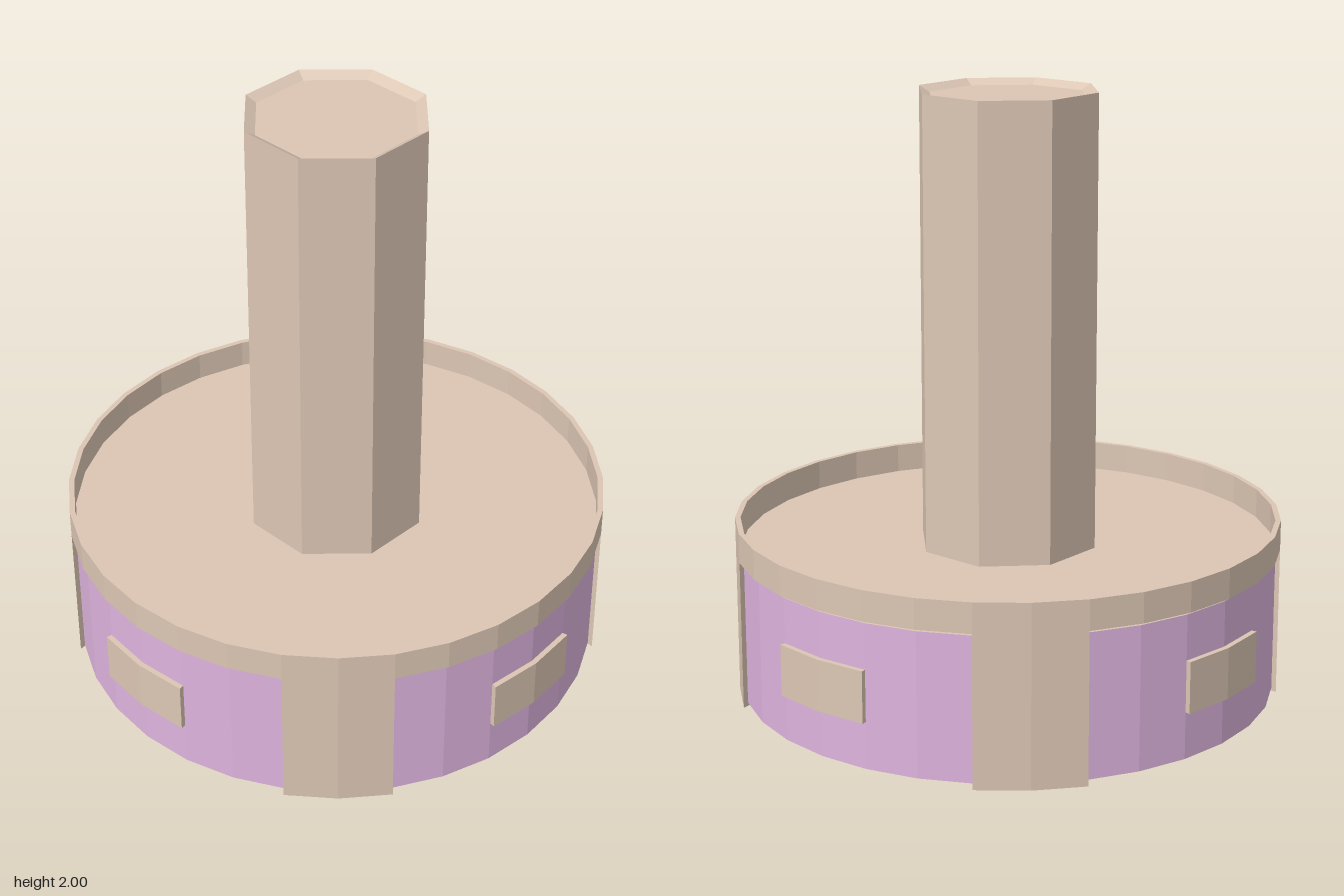
import * as THREE from 'three';

const BEIGE = new THREE.MeshStandardMaterial({ color: 0xdcc6b4, flatShading: true, side: THREE.DoubleSide });
const PURPLE = new THREE.MeshStandardMaterial({ color: 0xdeb4de, flatShading: true });
const SIDES = 32;
const STEP = (Math.PI * 2) / SIDES;

// Point on a circle in plan, angle measured from the front
const polar = (r, a) => new THREE.Vector2(r * Math.sin(a), -r * Math.cos(a));

// Upright prism from a plan outline
function prism(outline, y0, y1) {
  const geo = new THREE.ExtrudeGeometry(new THREE.Shape(outline), { depth: y1 - y0, bevelEnabled: false });
  return geo.rotateX(-Math.PI / 2).translate(0, y0, 0);
}

function lathe(profile, sides, start = 0) {
  return new THREE.LatheGeometry(profile.map(([x, y]) => new THREE.Vector2(x, y)), sides, start);
}

export function createModel() {
  const group = new THREE.Group();
  const add = (name, geo, mat, turn = 0) => {
    const mesh = new THREE.Mesh(geo, mat);
    mesh.name = name;
    mesh.rotation.y = turn;
    group.add(mesh);
  };

  // Octagonal shaft with a shallow dished top
  add('shaft', lathe([[0.3, 0.5], [0.3, 2], [0.265, 1.98], [0, 1.98]], 8, Math.PI / 8), BEIGE);

  // Tray: thin floor with a raised rim
  add('tray', lathe([[0, 0.5], [0.9, 0.5], [0.9, 0.6], [0.882, 0.6], [0.882, 0.502], [0, 0.502]], SIDES), BEIGE);

  // Drum: purple wall between plain end discs, just clear of the tray
  add('drumWall', new THREE.CylinderGeometry(0.885, 0.885, 0.475, SIDES, 1, true).translate(0, 0.2525, 0), PURPLE);
  add('drumBottom', new THREE.CircleGeometry(0.885, SIDES).rotateX(Math.PI / 2).translate(0, 0.015, 0), BEIGE);
  add('drumTop', new THREE.CircleGeometry(0.885, SIDES).rotateX(-Math.PI / 2).translate(0, 0.49, 0), BEIGE);

  // Four wedge posts on the diagonals and four raised tabs between them
  const arc = (r) => [-STEP, 0, STEP].map((a) => polar(r, a));
  const post = prism([...arc(0.9), polar(0.73, 0)], 0, 0.5);
  const tab = prism([...arc(0.903), ...arc(0.86).reverse()], 0.17, 0.34);
  for (let i = 0; i < 4; i++) {
    const turn = (i * Math.PI) / 2;
    add('post', post, BEIGE, turn + Math.PI / 4);
    add('tab', tab, BEIGE, turn);
  }
  return group;
}
